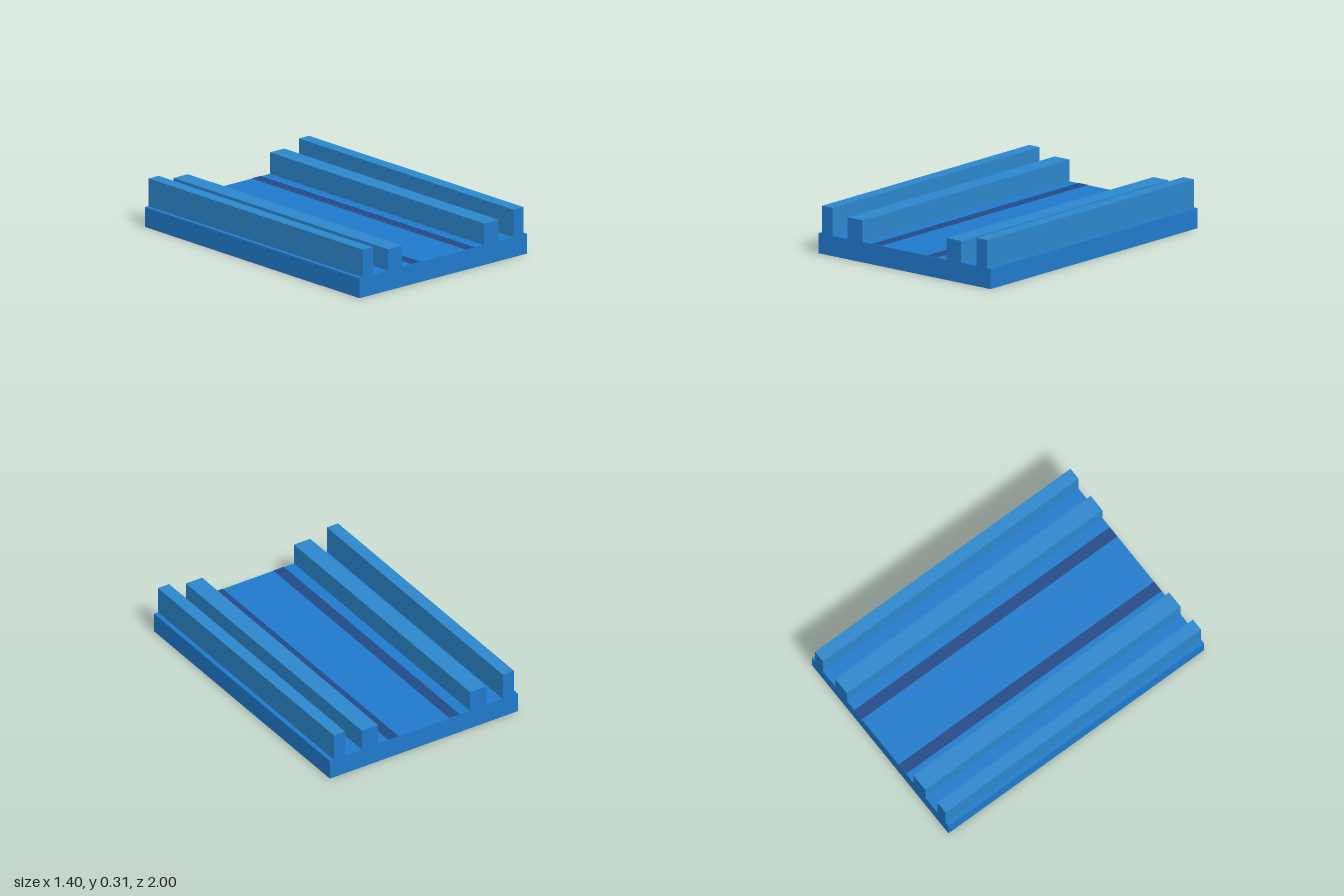
import * as THREE from 'three';

const LENGTH = 2;
const DECK_TOP = 0.13;

function material(name, color) {
  const m = new THREE.MeshStandardMaterial({ color });
  m.name = name;
  return m;
}

export function createModel() {
  const deckBlue = material('deckBlue', 0x207acb);
  const railBlue = material('railBlue', 0x2c86cc);
  const stripeNavy = material('stripeNavy', 0x224a86);

  const model = new THREE.Group();
  model.name = 'railedTrackPanel';

  // Flat deck
  const deck = new THREE.Mesh(new THREE.BoxGeometry(1.4, DECK_TOP, LENGTH), deckBlue);
  deck.name = 'deck';
  deck.position.y = DECK_TOP / 2;
  model.add(deck);

  // Full-length rail: light sides and top, end faces in the deck colour
  function addRail(name, side, inner, outer, top) {
    const height = top - DECK_TOP;
    const rail = new THREE.Mesh(
      new THREE.BoxGeometry(outer - inner, height, LENGTH),
      [railBlue, railBlue, railBlue, railBlue, deckBlue, deckBlue]
    );
    rail.name = name;
    rail.position.set(side * (inner + outer) / 2, DECK_TOP + height / 2, 0);
    model.add(rail);
  }

  // Painted stripe lying just above the deck
  function addStripe(name, side, inner, outer) {
    const stripe = new THREE.Mesh(new THREE.PlaneGeometry(outer - inner, LENGTH), stripeNavy);
    stripe.name = name;
    stripe.rotation.x = -Math.PI / 2;
    stripe.position.set(side * (inner + outer) / 2, DECK_TOP + 0.002, 0);
    model.add(stripe);
  }

  for (const [label, side] of [['left', 1], ['right', -1]]) {
    addRail(label + 'OuterRail', side, 0.587, 0.67, 0.31);
    addRail(label + 'InnerRail', side, 0.342, 0.462, 0.27);
    addStripe(label + 'Stripe', side, 0.188, 0.266);
  }

  return model;
}
